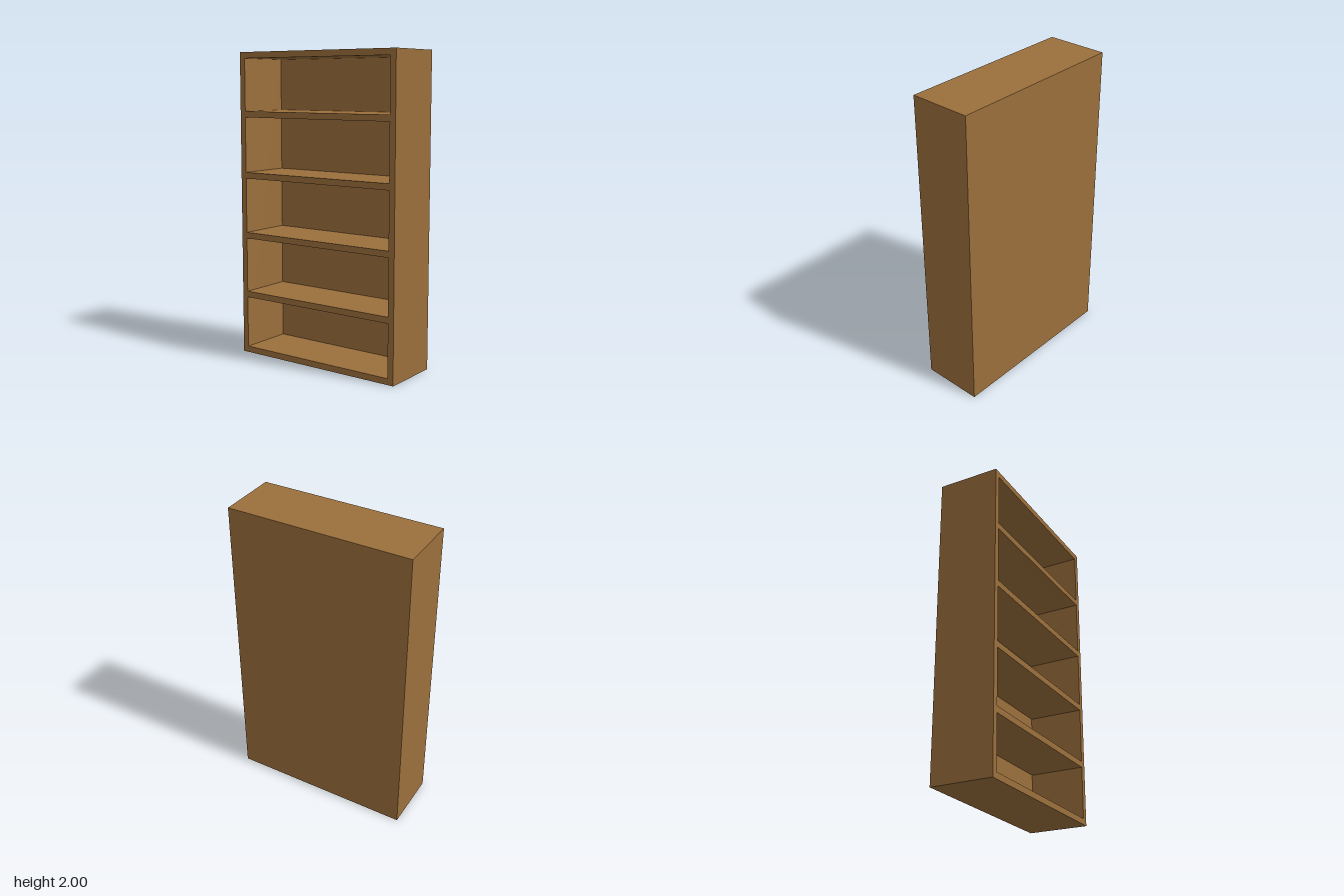
import * as THREE from 'three';

const DEPTH = 0.4, HEIGHT = 2, WIDTH = 1.2; // along x, y, z
const T = 0.04;      // board thickness
const BACK = 0.035;  // back panel thickness

export function createModel() {
  const group = new THREE.Group();
  group.name = 'bookcase';

  const wood = new THREE.MeshStandardMaterial({ color: 0x9b6f3c });
  wood.name = 'brown wood';

  const board = (name, sx, sy, sz, x, y, z) => {
    const mesh = new THREE.Mesh(new THREE.BoxGeometry(sx, sy, sz), wood);
    mesh.name = name;
    mesh.position.set(x, y, z);
    group.add(mesh);
  };

  // Closed back on +x, the shelves open towards -x
  board('backPanel', BACK, HEIGHT, WIDTH, DEPTH / 2 - BACK / 2, HEIGHT / 2, 0);

  const innerDepth = DEPTH - BACK;
  const innerX = -BACK / 2;
  const innerWidth = WIDTH - 2 * T;

  // Upright end panels
  for (const [name, s] of [['frontEndPanel', 1], ['rearEndPanel', -1]]) {
    board(name, innerDepth, HEIGHT, T, innerX, HEIGHT / 2, s * (WIDTH - T) / 2);
  }

  // Bottom and top boards
  board('bottomBoard', innerDepth, T, innerWidth, innerX, T / 2, 0);
  board('topBoard', innerDepth, T, innerWidth, innerX, HEIGHT - T / 2, 0);

  // Four evenly spaced shelves
  for (let i = 1; i <= 4; i++) {
    board(`shelf${i}`, innerDepth, T, innerWidth, innerX, i * HEIGHT / 5, 0);
  }

  return group;
}
